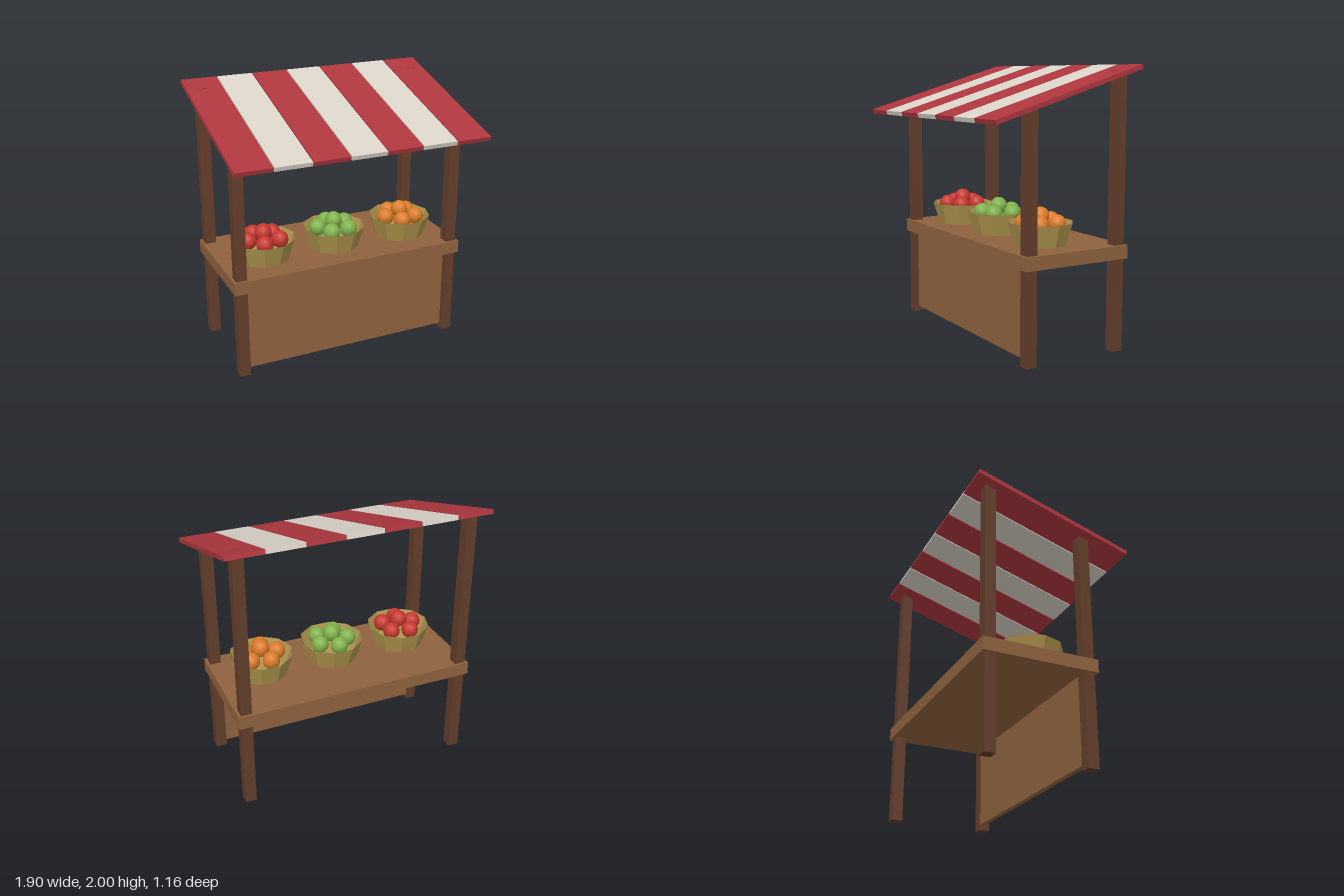
import * as THREE from 'three';

const mat = (name, color, extra = {}) => {
  const m = new THREE.MeshStandardMaterial({ color, ...extra });
  m.name = name;
  return m;
};

export function createModel() {
  const model = new THREE.Group();
  model.name = 'marketStall';

  const wood = mat('counterWood', 0x8f623e);
  const darkWood = mat('postWood', 0x633e2b);
  const red = mat('awningRed', 0xae363e);
  const cream = mat('awningCream', 0xdad3c8);
  const wicker = mat('basketStraw', 0xb0964e, { flatShading: true, side: THREE.DoubleSide });
  const fruits = [mat('fruitRed', 0xc8372f), mat('fruitGreen', 0x7fb24a), mat('fruitOrange', 0xdb7b28)];

  const add = (parent, name, geometry, material, x, y, z) => {
    const mesh = new THREE.Mesh(geometry, material);
    mesh.name = name;
    mesh.position.set(x, y, z);
    parent.add(mesh);
    return mesh;
  };
  const box = (name, w, h, d, material, x, y, z, parent = model) =>
    add(parent, name, new THREE.BoxGeometry(w, h, d), material, x, y, z);

  // Corner posts, taller at the back
  for (const side of [-1, 1]) {
    box('frontPost', 0.08, 1.72, 0.08, darkWood, side * 0.84, 0.86, 0.26);
    box('backPost', 0.08, 1.956, 0.08, darkWood, side * 0.84, 0.978, -0.46);
  }

  // Counter and front panel
  box('counterTop', 1.8, 0.095, 0.84, wood, 0, 0.7125, -0.1);
  box('frontPanel', 1.62, 0.63, 0.04, wood, 0, 0.355, 0.245);

  // Sloping striped awning
  const awning = new THREE.Group();
  awning.name = 'awning';
  awning.position.y = 1.8125;
  awning.rotation.x = 0.29;
  model.add(awning);
  for (let i = -3; i <= 3; i++) {
    box('awningStripe', 0.265, 0.032, 1.206, i % 2 ? red : cream, i * 0.2725, 0, 0, awning);
  }

  // Baskets with a ring of fruit and one on top
  const wall = new THREE.CylinderGeometry(0.236, 0.186, 0.16, 10, 1, true, Math.PI / 10);
  const floor = new THREE.CircleGeometry(0.186, 10);
  const fruit = new THREE.SphereGeometry(0.065, 10, 8);
  const turns = [-15, -30, -17];
  fruits.forEach((material, b) => {
    const basket = new THREE.Group();
    basket.name = 'fruitBasket';
    basket.position.set((b - 1) * 0.56, 0.76, -0.017);
    model.add(basket);
    add(basket, 'basketWall', wall, wicker, 0, 0.08, 0);
    add(basket, 'basketFloor', floor, wicker, 0, 0.01, 0).rotation.x = -Math.PI / 2;
    for (let i = 0; i < 5; i++) {
      const a = THREE.MathUtils.degToRad(turns[b] + i * 72);
      add(basket, 'fruit', fruit, material, 0.122 * Math.sin(a), 0.153, 0.122 * Math.cos(a));
    }
    add(basket, 'topFruit', fruit, material, 0, 0.2, 0);
  });

  return model;
}
